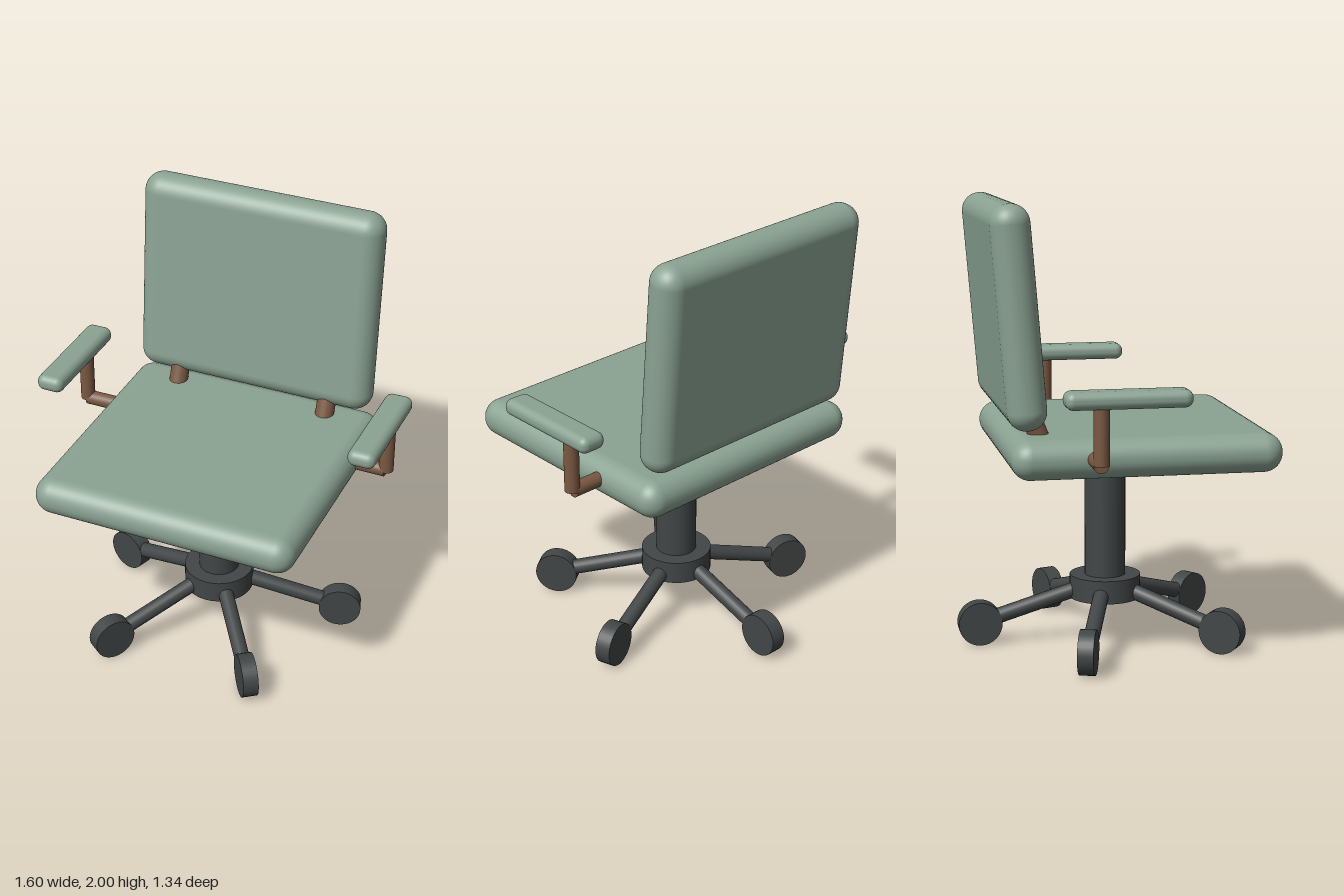
import * as THREE from 'three';
import { RoundedBoxGeometry } from 'three/addons/geometries/RoundedBoxGeometry.js';

const fabric = new THREE.MeshStandardMaterial({ color: 0x8ba393 });
const wood = new THREE.MeshStandardMaterial({ color: 0x7a5842 });
const metal = new THREE.MeshStandardMaterial({ color: 0x424646 });

export function createModel() {
  const chair = new THREE.Group();
  chair.name = 'officeChair';

  function add(name, geometry, material, x = 0, y = 0, z = 0) {
    const mesh = new THREE.Mesh(geometry, material);
    mesh.name = name;
    mesh.position.set(x, y, z);
    chair.add(mesh);
    return mesh;
  }

  // Round bar running between two points
  function bar(name, from, to, radius, material, sides = 24) {
    const a = new THREE.Vector3(...from), b = new THREE.Vector3(...to);
    const dir = b.clone().sub(a);
    const mesh = add(name, new THREE.CylinderGeometry(radius, radius, dir.length(), sides), material);
    mesh.position.copy(a).add(b).multiplyScalar(0.5);
    mesh.quaternion.setFromUnitVectors(new THREE.Vector3(0, 1, 0), dir.normalize());
    return mesh;
  }

  // Cushions
  add('seat', new RoundedBoxGeometry(1.21, 0.17, 1.17, 6, 0.083), fabric, 0, 0.935, 0.085);
  const back = add('backrest', new RoundedBoxGeometry(1.135, 0.95, 0.17, 6, 0.083), fabric, 0, 1.526, -0.457);
  back.rotation.x = -0.083;

  // Back supports and armrests, mirrored
  for (const [side, s] of [['left', 1], ['right', -1]]) {
    bar(side + 'BackSupport', [s * 0.365, 0.94, -0.33], [s * 0.365, 1.16, -0.415], 0.043, wood);
    bar(side + 'ArmBracket', [s * 0.56, 0.943, -0.155], [s * 0.735, 0.943, -0.155], 0.033, wood);
    bar(side + 'ArmPost', [s * 0.738, 0.943, -0.155], [s * 0.738, 1.19, -0.155], 0.033, wood);
    add(side + 'Armrest', new RoundedBoxGeometry(0.125, 0.075, 0.53, 4, 0.034), fabric, s * 0.737, 1.218, -0.045);
  }

  // Column and hub
  bar('column', [0, 0.22, 0], [0, 0.88, 0], 0.092, metal, 32);
  bar('hub', [0, 0.195, 0], [0, 0.3, 0], 0.16, metal, 32);

  // Five spokes, each ending in a wheel; the first points straight back
  const reach = 0.573;
  for (let i = 0; i < 5; i++) {
    const angle = (i * Math.PI * 2) / 5;
    const dx = Math.sin(angle), dz = -Math.cos(angle);
    bar('leg' + (i + 1), [dx * 0.06, 0.255, dz * 0.06], [dx * reach, 0.1, dz * reach], 0.035, metal, 20);
    const px = -dz * 0.035, pz = dx * 0.035;
    bar('wheel' + (i + 1), [dx * reach - px, 0.098, dz * reach - pz],
      [dx * reach + px, 0.098, dz * reach + pz], 0.098, metal, 32);
  }

  return chair;
}
